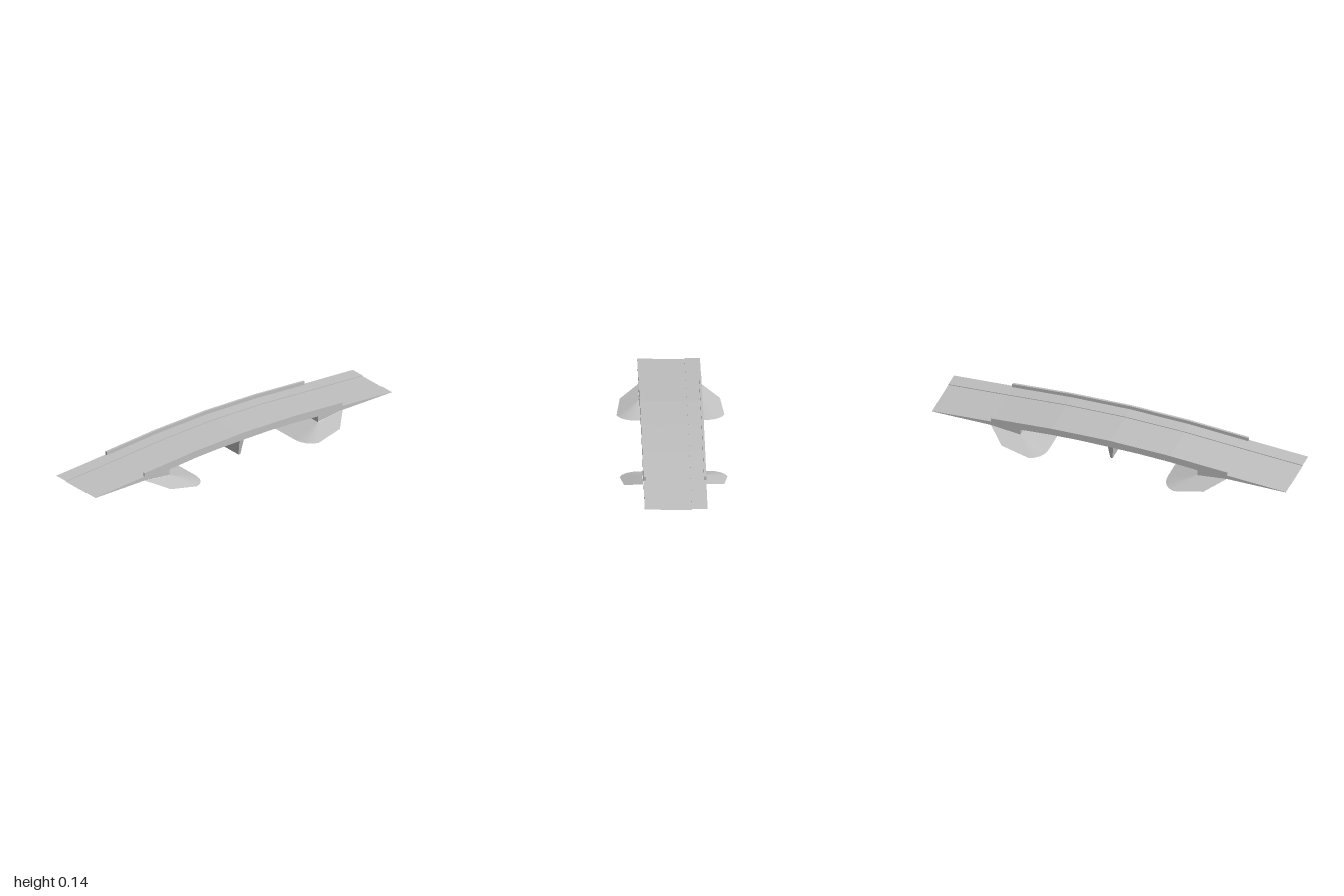
import * as THREE from 'three';

const HALF = 0.166, CURB = 0.084, INNER = 0.154;

// Surface through rows of [x, y, z] points, one flat quad per cell
function loft(rows) {
  const pos = [];
  for (let i = 0; i < rows.length - 1; i++) {
    for (let j = 0; j < rows[i].length - 1; j++) {
      const a = rows[i][j], b = rows[i][j + 1], c = rows[i + 1][j + 1], d = rows[i + 1][j];
      pos.push(...a, ...b, ...c, ...a, ...c, ...d);
    }
  }
  const g = new THREE.BufferGeometry();
  g.setAttribute('position', new THREE.Float32BufferAttribute(pos, 3));
  g.computeVertexNormals();
  return g;
}

// Height of the footway along the bridge
const stations = [[0, 0.122], [0.333, 0.113], [0.667, 0.09], [1, 0.069]];
function walkY(z) {
  const a = Math.abs(z);
  let i = 0;
  while (i < stations.length - 2 && a > stations[i + 1][0]) i++;
  const [z0, y0] = stations[i], [z1, y1] = stations[i + 1];
  return y0 + (y1 - y0) * (a - z0) / (z1 - z0);
}

export function createModel() {
  const model = new THREE.Group();
  const concrete = new THREE.MeshStandardMaterial({ color: 0xc0c0c0, side: THREE.DoubleSide });
  concrete.name = 'concrete';
  const deck = new THREE.Group();
  deck.name = 'deck';
  deck.position.x = -0.002;
  model.add(deck);
  const add = (parent, name, rows) => {
    const m = new THREE.Mesh(loft(rows), concrete);
    m.name = name;
    parent.add(m);
  };

  // Road with raised footways
  const zs = [-1, -0.667, -0.333, 0, 0.333, 0.667, 1];
  add(deck, 'roadway', zs.map(z => {
    const w = walkY(z), r = w - 0.004;
    return [[-HALF, w, z], [-CURB, w, z], [-CURB, r, z], [CURB, r, z], [CURB, w, z], [HALF, w, z]];
  }));

  // Arched underside
  const under = [[-0.5, 0.08], [-0.333, 0.093], [-0.17, 0.099], [0, 0.1],
    [0.17, 0.099], [0.333, 0.093], [0.5, 0.08]];
  add(deck, 'soffit', under.map(([z, y]) => [[HALF, y, z], [-HALF, y, z]]));

  // Side walls and parapets
  const bottom = [[-1, 0.067], [-0.667, 0.067], [-0.5, 0.048], ...under,
    [0.5, 0.048], [0.667, 0.067], [1, 0.067]];
  for (const s of [-1, 1]) {
    const side = s > 0 ? 'left' : 'right';
    add(deck, side + 'SideWall', bottom.map(([z, y]) => {
      const p = [[s * HALF, walkY(z), z], [s * HALF, y, z]];
      return s > 0 ? p.reverse() : p;
    }));
    const ring = z => {
      const w = walkY(z), t = w + 0.02;
      const p = [[s * INNER, w, z], [s * INNER, t, z], [s * HALF, t, z], [s * HALF, w, z]];
      return s > 0 ? p : p.reverse();
    };
    add(deck, side + 'Parapet', zs.slice(1, -1).map(ring));
    for (const z of [-0.667, 0.667]) {
      const [a, b, c, d] = ring(z);
      add(deck, side + 'ParapetEnd', z > 0 ? [[a, d], [b, c]] : [[a, b], [d, c]]);
    }
  }

  // Abutment walls and flared embankments at both ends
  for (const e of [-1, 1]) {
    const end = new THREE.Group();
    end.name = e > 0 ? 'frontAbutment' : 'backAbutment';
    end.rotation.y = e > 0 ? 0 : Math.PI;
    model.add(end);
    add(end, 'abutmentWall', [
      [[-HALF, 0.048, 0.5], [-HALF, 0.08, 0.5]],
      [[HALF, 0.048, 0.5], [HALF, 0.08, 0.5]],
    ]);
    add(end, 'embankmentSlope', [
      [[-HALF, 0.048, 0.5], [HALF, 0.048, 0.5]],
      [[-HALF, 0, 0.335], [HALF, 0, 0.335]],
    ]);
    // Wings fan out from the foot of the wall to a rounded rim
    const rim = [[HALF, 0.067, 0.667], [0.265, 0.025, 0.57], [0.285, 0, 0.41], [0.272, 0, 0.38],
      [0.25, 0, 0.357], [0.22, 0, 0.342], [0.19, 0, 0.336], [HALF, 0, 0.335]];
    for (const s of [-1, 1]) {
      const pos = [];
      for (let i = 0; i < rim.length - 1; i++) {
        const tri = [[HALF, 0.048, 0.5], rim[i], rim[i + 1]];
        if (s < 0) tri.reverse();
        tri.forEach(([x, y, z]) => pos.push(s * x, y, z));
      }
      const g = new THREE.BufferGeometry();
      g.setAttribute('position', new THREE.Float32BufferAttribute(pos, 3));
      g.computeVertexNormals();
      const wing = new THREE.Mesh(g, concrete);
      wing.name = 'embankmentWing';
      end.add(wing);
    }
  }

  // Tapered central pier
  const pierGeo = new THREE.BoxGeometry(0.3, 0.1, 0.032).toNonIndexed();
  const p = pierGeo.attributes.position;
  for (let i = 0; i < p.count; i++) {
    if (p.getY(i) < 0) p.setXYZ(i, p.getX(i) * 0.86, p.getY(i), p.getZ(i) * 0.4);
  }
  pierGeo.computeVertexNormals();
  const pier = new THREE.Mesh(pierGeo, concrete);
  pier.name = 'pier';
  pier.position.y = 0.05;
  model.add(pier);

  return model;
}
